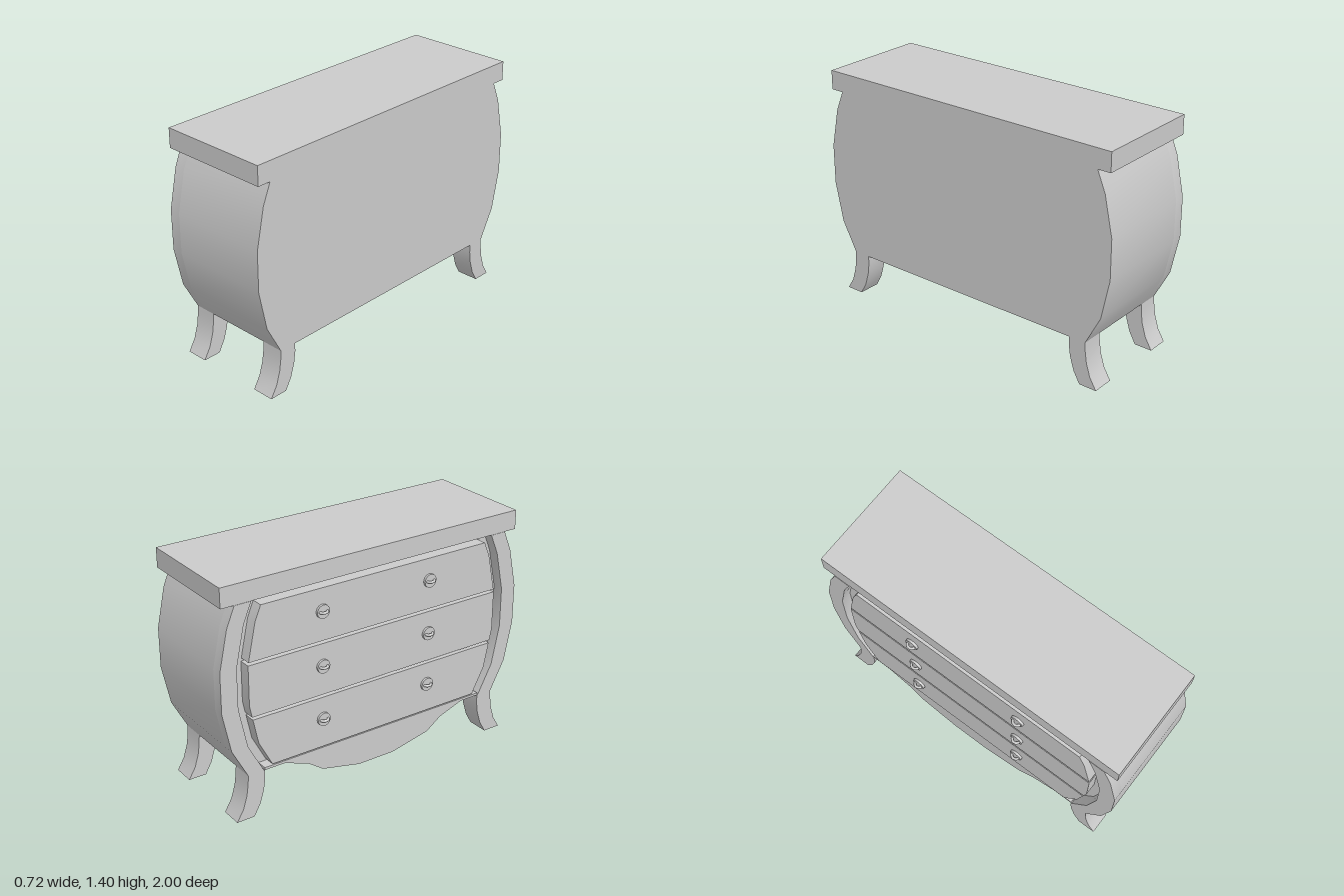
import * as THREE from 'three';
import { toCreasedNormals } from 'three/addons/utils/BufferGeometryUtils.js';

const material = new THREE.MeshStandardMaterial({ color: 0xcccccc });
const thin = new THREE.MeshStandardMaterial({ color: 0xcccccc, side: THREE.DoubleSide });

// Bombe side outline, as [half width, height] from bottom to top
const side = [[0.855, 0.27], [0.95, 0.45], [1, 0.69], [1, 0.93], [0.95, 1.165], [0.9, 1.285]];

function halfWidth(y) {
  for (let i = 1; i < side.length; i++) {
    const [w0, y0] = side[i - 1], [w1, y1] = side[i];
    if (y <= y1) return w0 + (w1 - w0) * (y - y0) / (y1 - y0);
  }
  return side[side.length - 1][0];
}

const flip = (points) => points.map(([w, y]) => [-w, y]).reverse();

// Extrude a (width, height) outline along x, from x0 to x1
function slab(name, points, x0, x1) {
  const shape = new THREE.Shape(points.map(([w, y]) => new THREE.Vector2(w, y)));
  const geometry = new THREE.ExtrudeGeometry(shape, { depth: x1 - x0, bevelEnabled: false });
  geometry.rotateY(Math.PI / 2).translate(x0, 0, 0);
  const mesh = new THREE.Mesh(toCreasedNormals(geometry, 0.6), material);
  mesh.name = name;
  return mesh;
}

// Round plate with a half-ring pull
function makeHandle(y, z) {
  const handle = new THREE.Group();
  handle.name = 'handle';
  const plate = new THREE.Mesh(new THREE.CylinderGeometry(0.04, 0.04, 0.016, 20), material);
  plate.name = 'handlePlate';
  plate.rotation.z = Math.PI / 2;
  plate.position.x = -0.328;
  const pull = new THREE.Mesh(new THREE.TorusGeometry(0.024, 0.008, 8, 16, Math.PI), material);
  pull.name = 'handlePull';
  pull.rotation.set(Math.PI / 2, 0, Math.PI / 2);
  pull.position.x = -0.329;
  handle.add(plate, pull);
  handle.position.set(0, y, z);
  return handle;
}

export function createModel() {
  const model = new THREE.Group();
  model.name = 'chestOfDrawers';
  const front = -0.317, recess = -0.25, back = 0.355;

  // Swelling carcass and top board
  model.add(slab('carcass', [...side, ...flip(side)], recess, back));
  model.add(slab('top', [[-0.98, 1.285], [0.98, 1.285], [0.98, 1.4], [-0.98, 1.4]], -0.315, back));

  // Frame bands beside the drawers
  const inner = side.map(([w, y]) => [w - 0.1, y]);
  const band = [...side, ...inner.reverse()];
  model.add(slab('frameSide', band, front, recess));
  model.add(slab('frameSide', flip(band), front, recess));

  // Curved legs
  const leg = [[0.855, 0.27], [0.858, 0.22], [0.868, 0.15], [0.893, 0.07], [0.935, 0],
    [0.825, 0], [0.785, 0.07], [0.76, 0.15], [0.75, 0.22], [0.75, 0.27]];
  for (const [name, x0, x1] of [['frontLeg', front, -0.185], ['backLeg', 0.22, back]]) {
    model.add(slab(name, leg, x0, x1), slab(name, flip(leg), x0, x1));
  }

  // Scalloped apron under the drawers
  const scallop = [[0.63, 0.272], [0.47, 0.215], [0.37, 0.145], [0.12, 0.09]];
  model.add(slab('apron', [...scallop, ...flip(scallop)], front, -0.185));
  const rail = [[0.75, 0.27], [0.75, 0.285]];
  model.add(slab('bottomRail', [...rail, ...flip(rail)], front, recess));

  // Sloping blocks joining the apron to the underside
  for (const s of [-1, 1]) {
    const corners = [[-0.185, 0.215, 0.47], [-0.185, 0.27, 0.63], [-0.05, 0.27, 0.4], [-0.185, 0.27, 0.16]];
    const points = [0, 1, 2, 0, 2, 3].map((i) => {
      const [x, y, z] = corners[i];
      return new THREE.Vector3(x, y, z * s);
    });
    if (s < 0) points.reverse();
    const geometry = new THREE.BufferGeometry().setFromPoints(points);
    geometry.computeVertexNormals();
    const block = new THREE.Mesh(geometry, thin);
    block.name = 'apronBlock';
    model.add(block);
  }

  // Three drawers following the side curve, each with two handles
  for (let i = 0; i < 3; i++) {
    const y0 = 0.295 + i * 0.325, y1 = y0 + 0.308;
    const heights = [y0, ...side.map((p) => p[1]).filter((y) => y > y0 && y < y1), y1];
    const edge = heights.map((y) => [halfWidth(y) - 0.165, y]);
    model.add(slab('drawer', [...edge, ...flip(edge)], -0.322, recess));
    for (const z of [-0.37, 0.35]) model.add(makeHandle(0.47 + i * 0.325, z));
  }

  return model;
}
